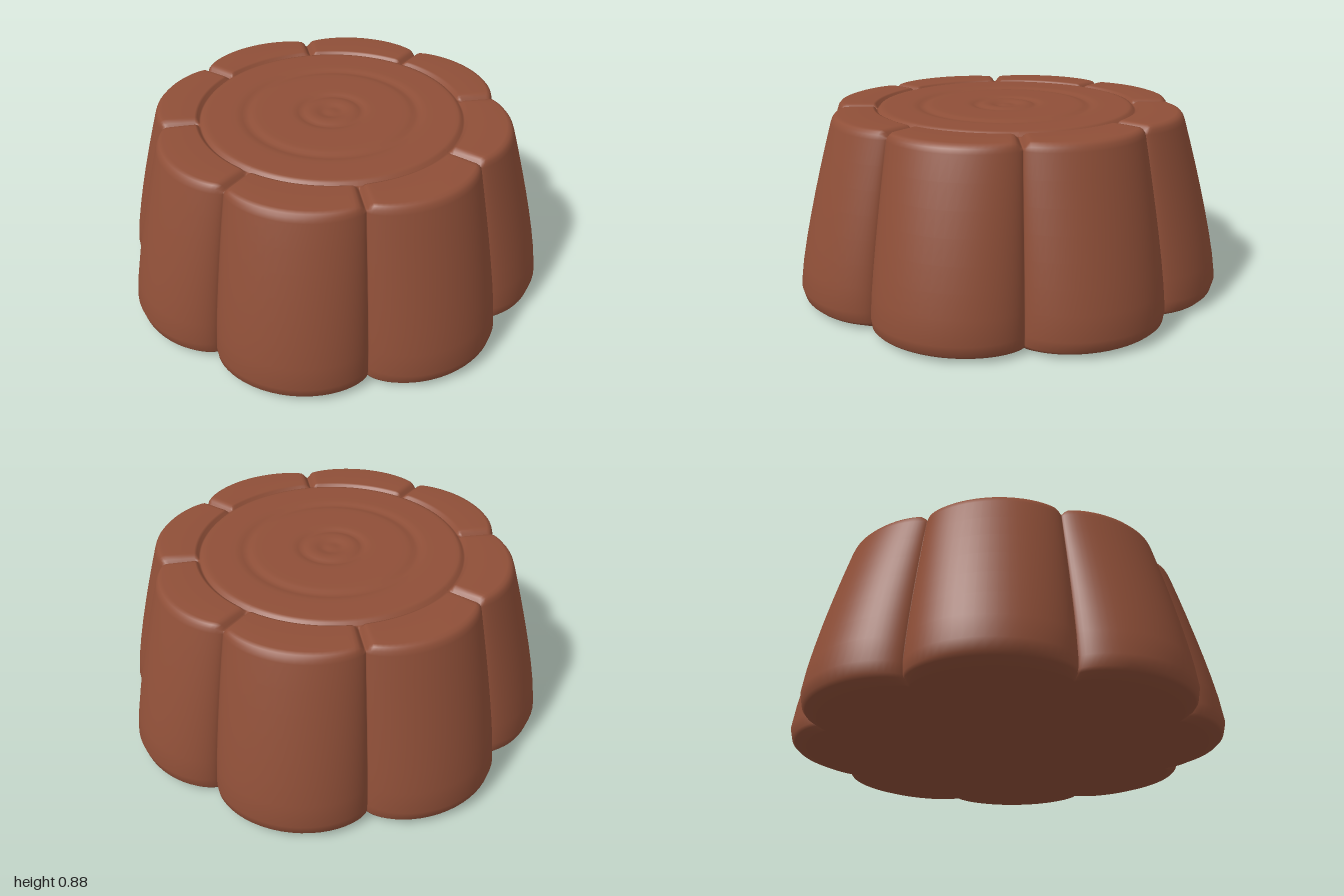
import * as THREE from 'three';

const LOBES = 8, STEPS = 28;
const TOP = 0.878;

// Cross-sections: [radius in the notch, radius at the lobe middle, height, depth of the radial cut]
function bodySections() {
  // flat underside and bevelled foot
  const sections = [
    [0.40, 0.42, 0.005, 0], [0.85, 0.945, 0.005, 0], [0.862, 0.962, 0.008, 0],
    [0.89, 1.015, 0.026, 0], [0.9, 1.03, 0.04, 0],
  ];
  // wall, leaning in a little more towards the top
  for (let i = 0; i <= 7; i++) {
    const s = i / 7, lean = Math.pow(s, 1.25);
    sections.push([0.905 - 0.123 * lean, 1.043 - 0.185 * lean, 0.09 + 0.75 * s, 0]);
  }
  // rounded rim and its flat top, crossed by the radial cuts
  sections.push(
    [0.778, 0.85, 0.86, 0.012], [0.768, 0.838, 0.873, 0.025], [0.755, 0.82, 0.879, 0.03],
    [0.70, 0.73, 0.88, 0.03], [0.645, 0.645, 0.88, 0.028], [0.634, 0.634, 0.876, 0.022],
  );
  // ring cut around the round top plate
  for (const [r, y] of [[0.626, 0.86], [0.618, 0.86], [0.61, 0.874]]) sections.push([r, r, y, 0]);
  // plate with three shallow concentric ripples
  for (let i = 0; i < 38; i++) {
    const r = 0.595 - i * 0.0155;
    let y = TOP;
    for (const [ring, width] of [[0.405, 0.025], [0.145, 0.02], [0.04, 0.028]]) {
      y -= 0.01 * Math.exp(-Math.pow((r - ring) / width, 2));
    }
    sections.push([r, r, y, 0]);
  }
  return sections;
}

// Skin of scalloped rings, closed by a centre point at both ends
function scallopedGeometry(sections) {
  const positions = [], indices = [];
  const count = LOBES * STEPS;
  const half = Math.PI / LOBES;
  for (const [notch, lobe, y, cut] of sections) {
    for (let i = 0; i < count; i++) {
      // samples crowd towards the notches
      const t = Math.sin(((i % STEPS) / STEPS * 2 - 1) * Math.PI / 2);
      const angle = (Math.floor(i / STEPS) * 2 + 1 + t) * half;
      const r = notch + (lobe - notch) * Math.pow(Math.max(0, 1 - t * t), 0.7);
      const d = (1 - Math.abs(t)) * half * r;
      const dent = cut * Math.exp(-Math.pow(d / 0.016, 2));
      positions.push(r * Math.cos(angle), y - dent, -r * Math.sin(angle));
    }
  }
  const last = sections.length - 1;
  for (let s = 0; s < last; s++) {
    for (let i = 0; i < count; i++) {
      const j = (i + 1) % count;
      const a = s * count + i, b = s * count + j;
      indices.push(a, b, b + count, a, b + count, a + count);
    }
  }
  const bottom = positions.length / 3, top = bottom + 1;
  positions.push(0, sections[0][2], 0, 0, sections[last][2], 0);
  for (let i = 0; i < count; i++) {
    const j = (i + 1) % count;
    indices.push(bottom, j, i, top, last * count + i, last * count + j);
  }
  const geometry = new THREE.BufferGeometry();
  geometry.setAttribute('position', new THREE.Float32BufferAttribute(positions, 3));
  geometry.setIndex(indices);
  geometry.computeVertexNormals();
  return geometry;
}

export function createModel() {
  const group = new THREE.Group();
  group.name = 'scallopedCake';
  const brown = new THREE.MeshStandardMaterial({ color: 0x8f4f38 });
  brown.name = 'chocolateBrown';
  const body = new THREE.Mesh(scallopedGeometry(bodySections()), brown);
  body.name = 'lobedBody';
  group.add(body);
  return group;
}
